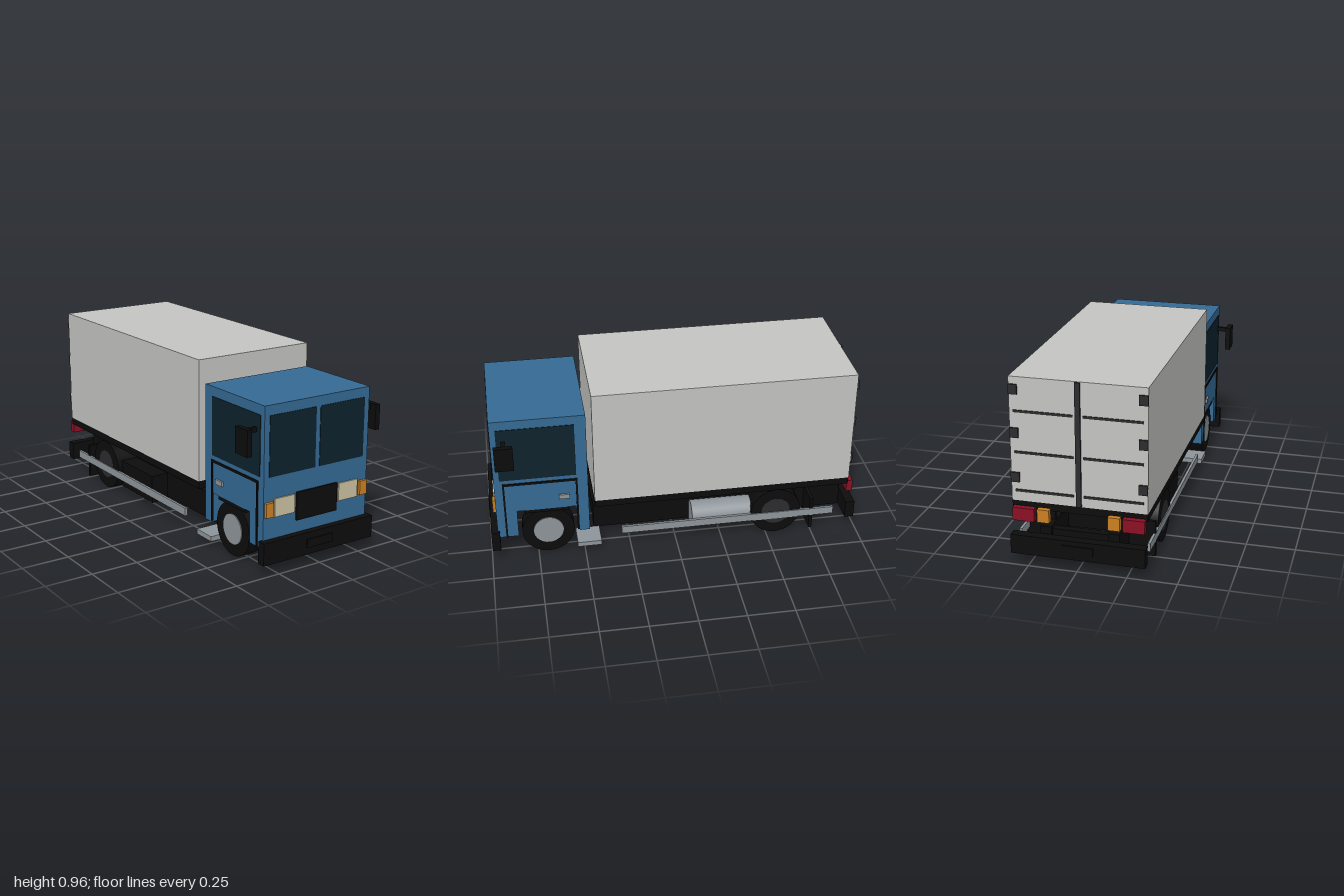
import * as THREE from 'three';

const mat = (name, color) => Object.assign(new THREE.MeshStandardMaterial({ color }), { name });

export function createModel() {
  const blue = mat('cab blue', 0x356a94);
  const cargo = mat('cargo grey', 0xc4c4c2);
  const black = mat('black', 0x0c0c0c);
  const dark = mat('dark grey', 0x2c2c2f);
  const glass = mat('dark glass', 0x0e222c);
  const metal = mat('light metal', 0x8e959a);
  const beige = mat('headlight beige', 0xcbc3a3);
  const orange = mat('indicator orange', 0xcc8022);
  const red = mat('tail light red', 0x8a1024);

  const truck = new THREE.Group();
  truck.name = 'boxTruck';

  const add = (name, geometry, material) => {
    const mesh = new THREE.Mesh(geometry, material);
    mesh.name = name;
    truck.add(mesh);
    return mesh;
  };
  // Box given by its limits on each axis
  const box = (name, material, x0, x1, y0, y1, z0, z1) => {
    const mesh = add(name, new THREE.BoxGeometry(x1 - x0, y1 - y0, z1 - z0), material);
    mesh.position.set((x0 + x1) / 2, (y0 + y1) / 2, (z0 + z1) / 2);
    return mesh;
  };
  // The same box on both sides of the truck
  const pair = (name, material, x0, x1, ...rest) => {
    box(name + 'Left', material, x0, x1, ...rest);
    box(name + 'Right', material, -x1, -x0, ...rest);
  };
  // Cylinder lying along x
  const roller = (name, material, r, x0, x1, y, z) => {
    const mesh = add(name, new THREE.CylinderGeometry(r, r, x1 - x0, 32).rotateZ(Math.PI / 2), material);
    mesh.position.set((x0 + x1) / 2, y, z);
  };

  // Cab: side outline with wheel cutout, extruded across the width
  const outline = new THREE.Shape([
    [0.47, 0.13], [0.525, 0.13], [0.525, 0.29], [0.85, 0.29],
    [0.85, 0.13], [0.96, 0.13], [0.96, 0.845], [0.47, 0.845],
  ].map(([z, y]) => new THREE.Vector2(z, y)));
  const cabGeometry = new THREE.ExtrudeGeometry(outline, { depth: 0.64, bevelEnabled: false });
  cabGeometry.translate(0, 0, -0.32).rotateY(-Math.PI / 2);
  add('cab', cabGeometry, blue);

  // Cab front
  pair('windscreen', glass, 0.013, 0.29, 0.49, 0.795, 0.957, 0.963);
  pair('headlight', beige, 0.137, 0.257, 0.285, 0.378, 0.955, 0.968);
  pair('frontIndicator', orange, 0.269, 0.313, 0.291, 0.365, 0.955, 0.975);
  box('grille', black, -0.125, 0.125, 0.24, 0.385, 0.955, 0.97);
  box('frontBumper', black, -0.34, 0.34, 0.06, 0.175, 0.95, 0.995);
  box('frontPlate', black, -0.08, 0.08, 0.095, 0.14, 0.99, 1.0);

  // Cab sides: windows, door trim, handles, mirrors
  pair('sideWindow', glass, 0.317, 0.323, 0.49, 0.795, 0.53, 0.93);
  pair('doorTrimTop', black, 0.317, 0.326, 0.455, 0.467, 0.525, 0.917);
  pair('doorTrimFront', black, 0.317, 0.326, 0.13, 0.46, 0.907, 0.917);
  pair('doorTrimRear', black, 0.317, 0.326, 0.14, 0.46, 0.525, 0.535);
  pair('doorHandle', metal, 0.317, 0.331, 0.35, 0.376, 0.57, 0.626);
  pair('mirrorArm', black, 0.31, 0.385, 0.707, 0.73, 0.885, 0.905);
  pair('mirror', black, 0.38, 0.408, 0.605, 0.737, 0.848, 0.945);

  // Cab underside
  pair('wheelArch', black, 0.2, 0.318, 0.27, 0.292, 0.58, 0.81);
  box('cabFloorPlate', dark, -0.2, 0.2, 0.215, 0.23, 0.52, 0.852);
  pair('step', metal, 0.2, 0.335, 0.03, 0.057, 0.41, 0.54);

  // Wheels and axles
  for (const [side, s] of [['Left', 1], ['Right', -1]]) {
    const span = (a, b) => (s > 0 ? [a, b] : [-b, -a]);
    roller('frontTyre' + side, black, 0.14, ...span(0.225, 0.305), 0.143, 0.69);
    roller('frontHub' + side, metal, 0.08, ...span(0.22, 0.31), 0.143, 0.69);
    roller('rearTyre' + side, black, 0.138, ...span(0.188, 0.33), 0.14, -0.55);
    roller('rearHub' + side, dark, 0.08, ...span(0.25, 0.331), 0.14, -0.55);
  }
  roller('frontAxle', dark, 0.025, -0.23, 0.23, 0.143, 0.69);
  roller('rearAxle', black, 0.03, -0.2, 0.2, 0.14, -0.55);

  // Chassis
  pair('chassisRail', black, 0.145, 0.2, 0.055, 0.2, -0.945, 0.44);
  for (const z of [-0.9, -0.65, -0.35, -0.05, 0.2, 0.42]) {
    box('crossMember', black, -0.15, 0.15, 0.075, 0.18, z - 0.02, z + 0.02);
  }
  for (const z of [-0.85, -0.3, 0.1, 0.38]) {
    pair('bodyMount', black, 0.15, 0.195, 0.19, 0.29, z - 0.008, z + 0.008);
  }
  pair('sideRail', metal, 0.322, 0.336, 0.092, 0.135, -0.875, 0.3);
  pair('mudFlap', black, 0.188, 0.335, 0.01, 0.2, -0.76, -0.742);
  box('batteryBox', black, -0.3, -0.195, 0.035, 0.19, -0.42, -0.09);
  const tank = add('fuelTank', new THREE.CylinderGeometry(0.075, 0.075, 0.33, 32).rotateX(Math.PI / 2), metal);
  tank.position.set(0.245, 0.115, -0.255);

  // Cargo body
  box('cargoBase', black, -0.34, 0.34, 0.285, 0.327, -0.945, 0.44);
  box('cargoBox', cargo, -0.341, 0.341, 0.325, 0.962, -0.947, 0.44);

  // Rear doors
  box('doorBar', dark, -0.013, 0.013, 0.327, 0.96, -0.957, -0.945);
  for (const y of [0.38, 0.58, 0.79]) {
    pair('doorRib', dark, 0.025, 0.32, y - 0.006, y + 0.006, -0.952, -0.945);
  }
  for (const y of [0.45, 0.68, 0.9]) {
    pair('hinge', dark, 0.297, 0.341, y - 0.025, y + 0.025, -0.957, -0.945);
  }

  // Tail lights and rear bumper
  pair('tailLight', red, 0.222, 0.332, 0.23, 0.298, -0.975, -0.942);
  pair('rearIndicator', orange, 0.147, 0.208, 0.23, 0.298, -0.972, -0.942);
  box('rearBumper', black, -0.34, 0.34, 0.06, 0.16, -0.995, -0.945);
  box('rearPlate', black, -0.08, 0.08, 0.09, 0.135, -1.0, -0.99);

  return truck;
}
